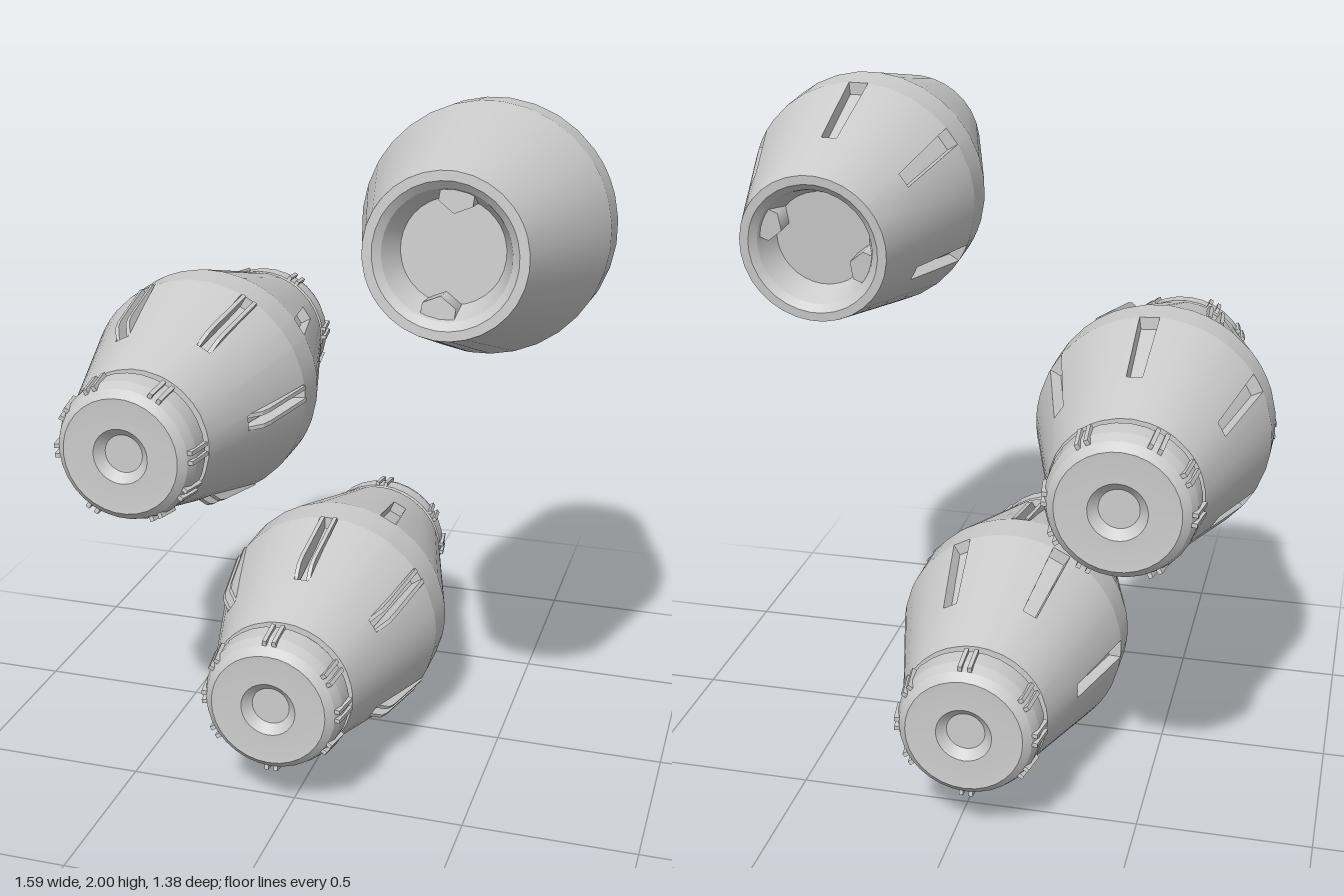
import * as THREE from 'three';
import { toCreasedNormals } from 'three/addons/utils/BufferGeometryUtils.js';

const material = new THREE.MeshStandardMaterial({ color: 0xcccccc });
const rad = THREE.MathUtils.degToRad;
const BACK_SLOTS = [0, 63, 117, 180, 243, 297];
const FRONT_SLOTS = [33, 90, 147, 213, 270, 327];
const HALF = 4.8;          // half slot width in degrees
const S0 = 0.06, S1 = 0.34; // slot start and end, measured from the middle
const EPS = 0.001;

function part(name, geometry, parent) {
  const mesh = new THREE.Mesh(geometry, material);
  mesh.name = name;
  parent.add(mesh);
  return mesh;
}

// Radius of the double-cone shell at height s along its axis
const shellRadius = s => 0.34 - 0.13 * Math.max(0, (Math.abs(s) - 0.06) / 0.4625);

// Shell with slots pressed in and a dished recess at both ends
function shellGeometry(frontSlots) {
  const angles = [];
  for (let i = 0; i < 32; i++) angles.push(i * 11.25);
  const slots = [...BACK_SLOTS, ...frontSlots];
  for (const a of slots) for (const e of [-HALF - 0.02, -HALF, HALF, HALF + 0.02]) angles.push((a + e + 360) % 360);
  angles.sort((p, q) => p - q);
  angles.push(angles[0] + 360);
  const within = (list, t) => list.some(a => Math.abs(((t - a + 540) % 360) - 180) < HALF + 0.01);

  // Outer rows from front to back, then recess rows on either side
  const outer = [0.5225, S1 + EPS, S1, S0 + EPS, S0];
  const recess = [[0, 0.43], [0.135, 0.43], [0.165, 0.505], [0.185, 0.5225]];
  const rows = [
    ...recess.map(([r, s]) => ({ r, s })),
    ...outer.map(s => ({ r: shellRadius(s), s, skin: true })),
    ...outer.slice().reverse().map(s => ({ r: shellRadius(s), s: -s, skin: true })),
    ...recess.slice().reverse().map(([r, s]) => ({ r, s: -s })),
  ];
  const pos = [], index = [], n = angles.length;
  for (const { r, s, skin } of rows) {
    const inSlotRow = skin && Math.abs(s) > S0 + EPS / 2 && Math.abs(s) < S1 + EPS / 2;
    for (const t of angles) {
      const sunk = inSlotRow && within(s < 0 ? BACK_SLOTS : frontSlots, t);
      const q = r - (sunk ? 0.035 : 0);
      pos.push(q * Math.cos(rad(t)), q * Math.sin(rad(t)), s);
    }
  }
  for (let i = 0; i < rows.length - 1; i++) {
    for (let j = 0; j < n - 1; j++) {
      const a = i * n + j, b = a + 1, d = a + n, c = d + 1;
      if (rows[i].r > 0) index.push(a, d, b);
      if (rows[i + 1].r > 0) index.push(b, d, c);
    }
  }
  const g = new THREE.BufferGeometry();
  g.setAttribute('position', new THREE.Float32BufferAttribute(pos, 3));
  g.setIndex(index);
  return toCreasedNormals(g, rad(14));
}

// Raised lips along both sides of each front slot
function addRails(parent) {
  const shape = new THREE.Shape([
    [0.06, 0.3], [0.06, 0.343], [0.27, 0.303], [0.3, 0.292], [0.34, 0.25], [0.34, 0.235],
  ].map(p => new THREE.Vector2(...p)));
  const geo = new THREE.ExtrudeGeometry(shape, { depth: 0.012, bevelEnabled: false });
  geo.applyMatrix4(new THREE.Matrix4().makeBasis(
    new THREE.Vector3(0, 0, 1), new THREE.Vector3(1, 0, 0), new THREE.Vector3(0, 1, 0)));
  for (const a of FRONT_SLOTS) {
    const pair = new THREE.Group();
    pair.name = 'slotRails';
    pair.rotation.z = rad(a);
    part('slotRail', geo, pair).position.y = 0.013;
    part('slotRail', geo, pair).position.y = -0.025;
    parent.add(pair);
  }
}

// End plug with a neck groove, chamfer, centre dimple and small side ribs
function endCap(name) {
  const cap = new THREE.Group();
  cap.name = name;
  const profile = [[0.193, 0.5], [0.193, 0.54], [0.207, 0.545], [0.203, 0.6], [0.19, 0.632],
    [0.168, 0.652], [0.148, 0.65], [0.08, 0.65], [0.055, 0.625], [0, 0.625]];
  const body = new THREE.LatheGeometry(profile.map(p => new THREE.Vector2(...p)), 32).rotateX(Math.PI / 2);
  part('capBody', toCreasedNormals(body, rad(14)), cap);
  const rib = new THREE.BoxGeometry(0.03, 0.012, 0.085);
  for (const a of [0, 33, 90, 147, 180, 213, 270, 327]) {
    const pair = new THREE.Group();
    pair.name = 'capRibs';
    pair.rotation.z = rad(a);
    for (const y of [-0.014, 0.014]) {
      const m = part('capRib', rib, pair);
      m.position.set(0.196, y, 0.588);
      m.rotation.y = -0.15;
    }
    cap.add(pair);
  }
  return cap;
}

// Locking lugs inside an open end
function addLugs(parent, angles, s) {
  const geo = new THREE.CylinderGeometry(0.05, 0.05, 0.07, 6).rotateX(Math.PI / 2);
  for (const a of angles) {
    const m = part('lockingLug', geo, parent);
    m.position.set(0.153 * Math.cos(rad(a)), 0.153 * Math.sin(rad(a)), s);
    m.rotation.z = rad(a + 90);
  }
}

function barrel(name, capped) {
  const g = new THREE.Group();
  g.name = name;
  part('shell', shellGeometry(capped ? FRONT_SLOTS : []), g);
  if (capped) {
    addRails(g);
    const back = endCap('backCap');
    back.rotation.y = Math.PI;
    g.add(endCap('frontCap'), back);
  } else {
    addLugs(g, [55, 235], 0.46);
    addLugs(g, [-6, 174], -0.46);
  }
  return g;
}

export function createModel() {
  const model = new THREE.Group();
  model.name = 'barrelSet';

  const lower = barrel('lowerBarrel', true);
  lower.position.set(-0.04, 0.35, -0.0425);

  const middle = barrel('middleBarrel', true);
  middle.position.set(-0.453, 1.065, -0.0425);
  middle.rotation.z = rad(-30);

  // Open barrel, tilted slightly upward at the front
  const upper = barrel('upperBarrel', false);
  upper.position.set(0.453, 1.662, 0.142);
  upper.rotation.set(rad(-5), 0, rad(28));

  model.add(lower, middle, upper);
  return model;
}
